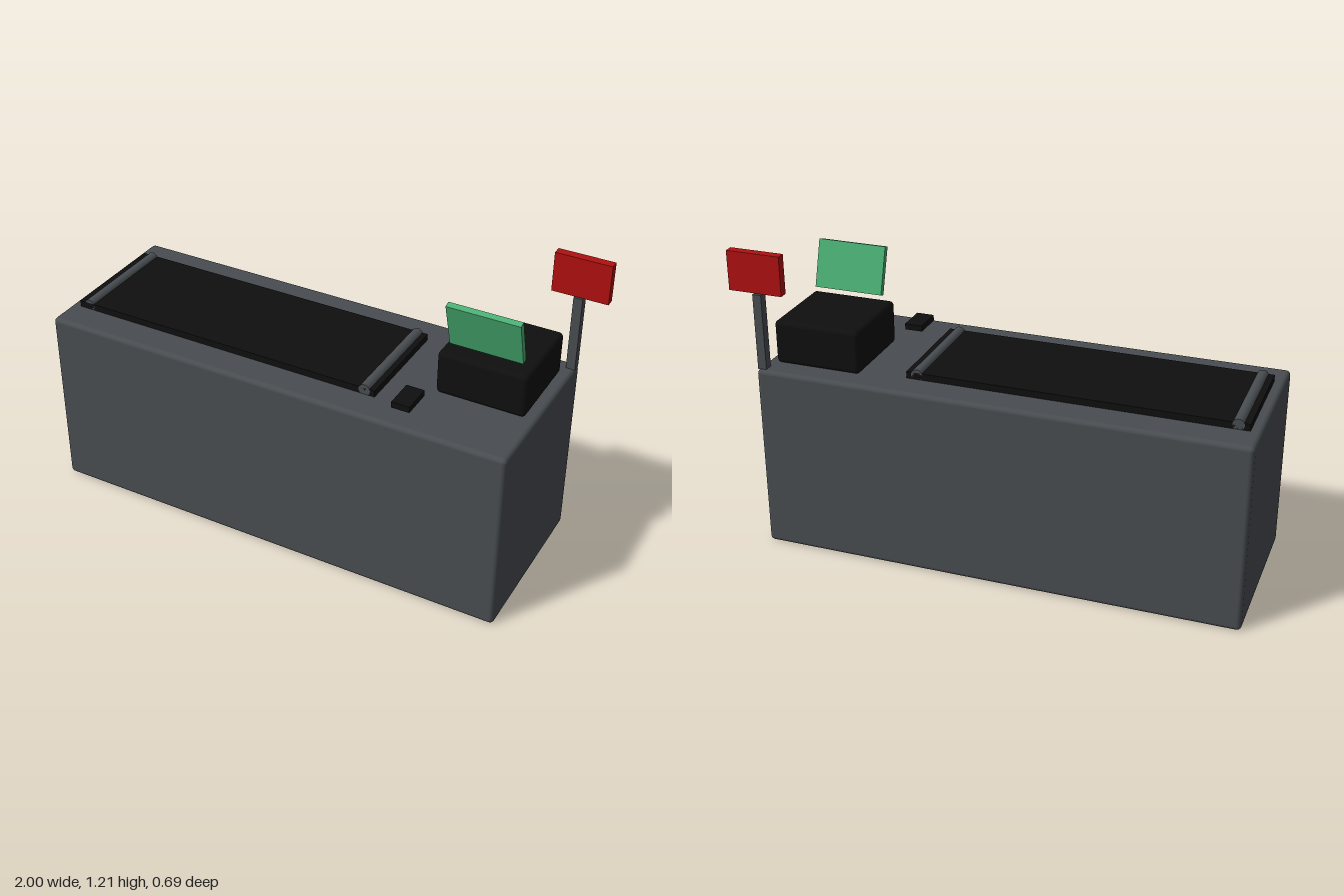
import * as THREE from 'three';
import { RoundedBoxGeometry } from 'three/addons/geometries/RoundedBoxGeometry.js';

const material = (name, color) => {
  const m = new THREE.MeshStandardMaterial({ color });
  m.name = name;
  return m;
};

export function createModel() {
  const grey = material('counter grey', 0x484d51);
  const black = material('black', 0x0f0f0f);
  const green = material('screen green', 0x4ab074);
  const red = material('sign red', 0xb01010);

  const group = new THREE.Group();
  group.name = 'checkoutCounter';

  const add = (name, geometry, mat, x, y, z) => {
    const mesh = new THREE.Mesh(geometry, mat);
    mesh.name = name;
    mesh.position.set(x, y, z);
    group.add(mesh);
    return mesh;
  };
  const box = (w, h, d) => new THREE.BoxGeometry(w, h, d);
  const rounded = (w, h, d, r) => new RoundedBoxGeometry(w, h, d, 3, r);

  // Counter body
  add('counterBody', rounded(1.905, 0.747, 0.69, 0.018), grey, -0.0475, 0.3735, 0);

  // Conveyor belt with a roller near each end
  add('conveyorBelt', box(1.3, 0.03, 0.438), black, -0.309, 0.758, 0);
  for (const x of [-0.915, 0.299]) {
    const roller = new THREE.CylinderGeometry(0.023, 0.023, 0.438, 20);
    roller.rotateX(Math.PI / 2);
    add('beltRoller', roller, grey, x, 0.764, 0);
  }

  // Card reader beside the belt
  add('cardReader', box(0.072, 0.024, 0.122), black, 0.472, 0.783, 0.217);

  // Register with a tilted screen above its front edge
  add('register', rounded(0.346, 0.173, 0.346, 0.018), black, 0.69, 0.8335, -0.087);
  const screen = add('screen', box(0.28, 0.189, 0.024), green, 0.69, 1.043, 0.07);
  screen.rotation.x = 0.3;

  // Lane sign on its post
  add('signPost', box(0.035, 0.302, 0.035), grey, 0.887, 0.896, -0.312);
  add('laneSign', box(0.216, 0.156, 0.035), red, 0.892, 1.131, -0.312);

  return group;
}
